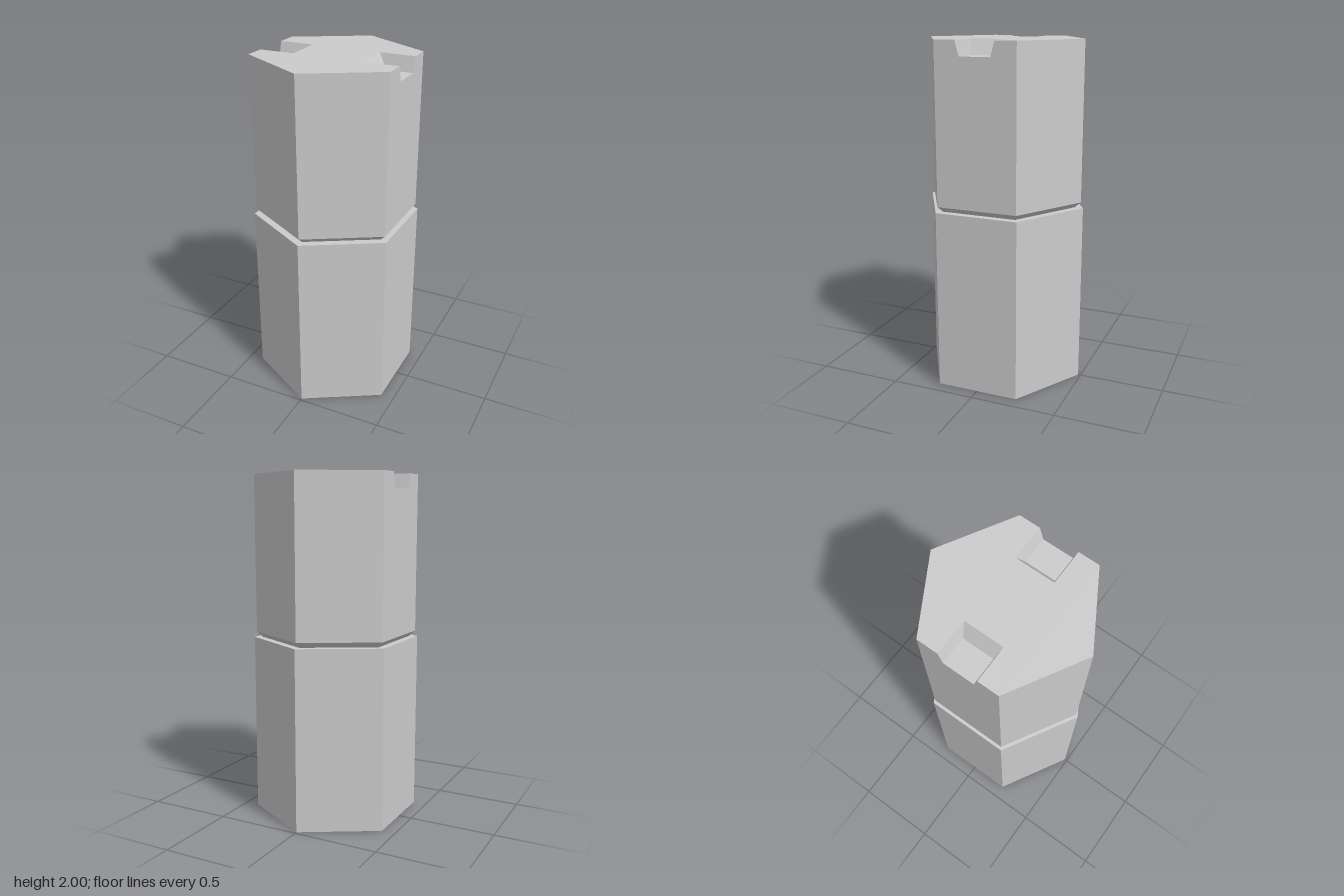
import * as THREE from 'three';

const R_LOW = 0.486, R_UP = 0.473;      // hexagon corner radii
const LEDGE = 1.053, BEVEL = 1.085, TOP = 2;
const FLAT = R_UP * Math.cos(Math.PI / 6); // distance to the upper side flats
const N = { floor: 1.915, wTop: 0.114, wBot: 0.09, xTop: 0.205, xBot: 0.254 }; // notch

const material = new THREE.MeshStandardMaterial({ color: 0xcccccc, flatShading: true, side: THREE.DoubleSide });

function add(parent, name, geometry) {
  const mesh = new THREE.Mesh(geometry, material);
  mesh.name = name;
  parent.add(mesh);
  return mesh;
}

// Six-sided shell through [radius, height] points
function hexShell(profile, segments = 6, start = 0) {
  const pts = profile.map(([r, y]) => new THREE.Vector2(r, y));
  return new THREE.LatheGeometry(pts, segments, start, segments * Math.PI / 3);
}

function flatShape(points) {
  return new THREE.ShapeGeometry(new THREE.Shape(points.map(([x, y]) => new THREE.Vector2(x, y))));
}

// Quads with counter-clockwise corners
function quads(list) {
  const g = new THREE.BufferGeometry();
  const pos = list.flatMap(([a, b, c, d]) => [a, b, c, a, c, d].flat());
  g.setAttribute('position', new THREE.Float32BufferAttribute(pos, 3));
  g.computeVertexNormals();
  return g;
}

export function createModel() {
  const model = new THREE.Group();
  model.name = 'hexagonalPost';

  // Lower sleeve, open underneath, with the ledge and the bevel above it
  add(model, 'lowerSleeve', hexShell([[R_LOW, 0], [R_LOW, LEDGE]]));
  add(model, 'ledge', hexShell([[R_LOW, LEDGE], [R_UP - 0.037, LEDGE]]));
  add(model, 'bevel', hexShell([[R_UP - 0.037, LEDGE], [R_UP, BEVEL]]));

  // Plain upper walls at front and back
  const wall = [[R_UP, BEVEL], [R_UP, TOP]];
  add(model, 'upperFrontWalls', hexShell(wall, 2, -Math.PI / 3));
  add(model, 'upperBackWalls', hexShell(wall, 2, 2 * Math.PI / 3));

  // Top cap with a notch cut in from each side
  const h = R_UP / 2, { floor, wTop, wBot, xTop, xBot } = N;
  const half = [[FLAT, -h], [FLAT, -wTop], [xTop, -wTop], [xTop, wTop], [FLAT, wTop], [FLAT, h], [0, R_UP]];
  const cap = flatShape([...half, ...half.map(([x, y]) => [-x, -y])]);
  add(model, 'topCap', cap.rotateX(-Math.PI / 2).translate(0, TOP, 0));

  // Notched side wall and notch faces, repeated on the opposite side
  const panel = flatShape([[-h, BEVEL], [h, BEVEL], [h, TOP], [wTop, TOP], [wBot, floor],
    [-wBot, floor], [-wTop, TOP], [-h, TOP]]).rotateY(Math.PI / 2).translate(FLAT, 0, 0);
  const cheek = s => [[xTop, TOP, s * wTop], [xBot, floor, s * wBot], [FLAT, floor, s * wBot], [FLAT, TOP, s * wTop]];
  const notch = quads([
    [[xBot, floor, -wBot], [xBot, floor, wBot], [FLAT, floor, wBot], [FLAT, floor, -wBot]],
    [[xTop, TOP, -wTop], [xTop, TOP, wTop], [xBot, floor, wBot], [xBot, floor, -wBot]],
    cheek(-1),
    cheek(1).reverse(),
  ]);
  for (const [name, angle] of [['left', 0], ['right', Math.PI]]) {
    const side = new THREE.Group();
    side.name = name + 'Side';
    add(side, name + 'Wall', panel);
    add(side, name + 'Notch', notch);
    side.rotation.y = angle;
    model.add(side);
  }
  return model;
}
